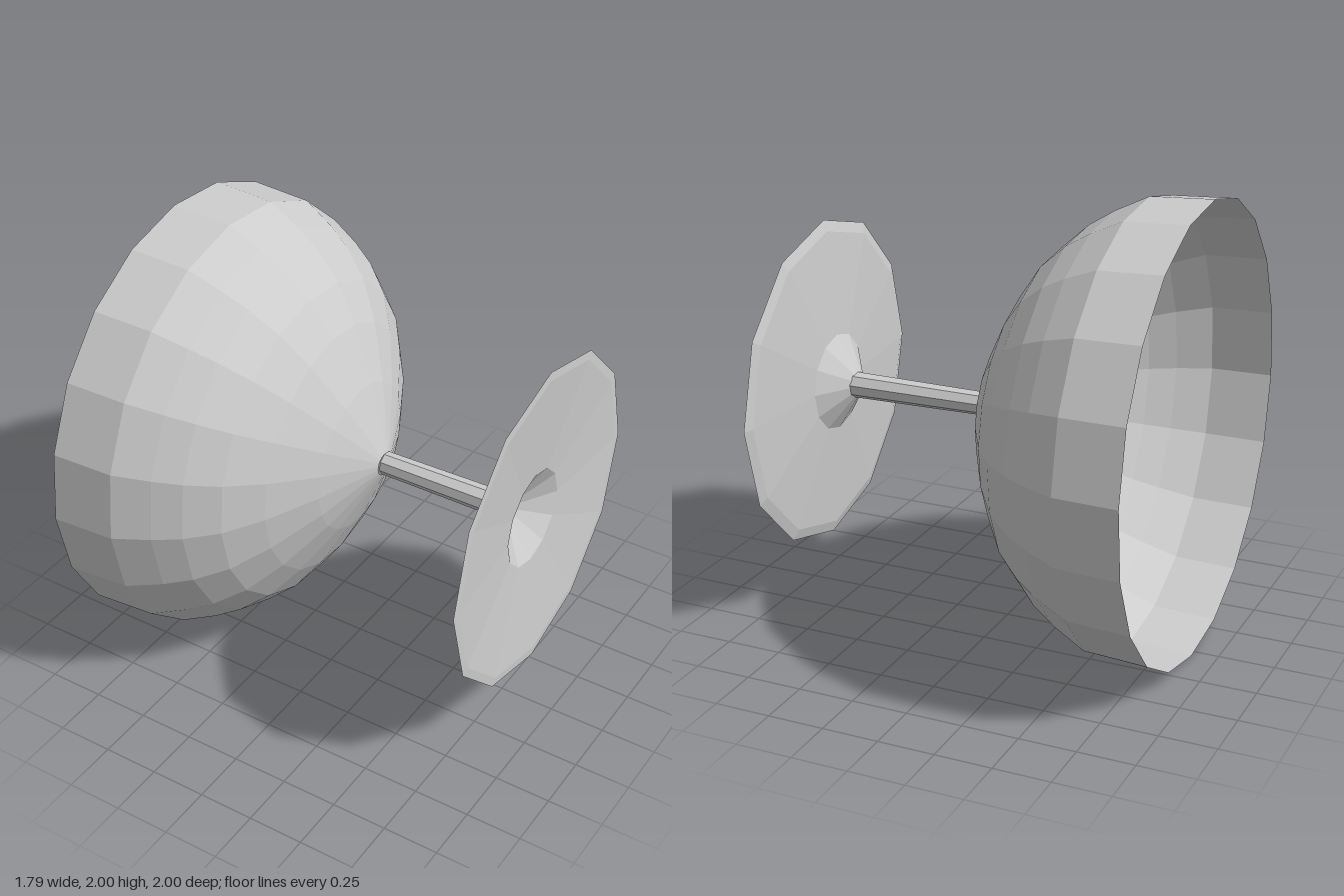
import * as THREE from 'three';

const grey = new THREE.MeshStandardMaterial({ color: 0xcccccc, flatShading: true, side: THREE.DoubleSide });
grey.name = 'grey';

// Turn a profile of [x along the axis, radius] around the x axis
function turned(name, profile, sides, phase = 0) {
  const points = profile.map(([x, r]) => new THREE.Vector2(r, x));
  const geometry = new THREE.LatheGeometry(points, sides, phase);
  geometry.rotateZ(-Math.PI / 2);
  const mesh = new THREE.Mesh(geometry, grey);
  mesh.name = name;
  return mesh;
}

export function createModel() {
  const goblet = new THREE.Group();
  goblet.name = 'goblet';

  // Open bowl, its mouth towards -x
  goblet.add(turned('bowl', [
    [0.12, 0.05], [0.0, 0.34], [-0.12, 0.57], [-0.23, 0.73],
    [-0.35, 0.84], [-0.46, 0.91], [-0.61, 0.985], [-0.89, 1.0],
  ], 20, 0.052));

  // Hollow stem
  const stem = turned('stem', [[0.12, 0.052], [0.74, 0.058]], 8, 0.2);
  stem.position.z = -0.01;
  goblet.add(stem);

  // Thin dished foot, hollow in the middle
  const foot = turned('foot', [
    [0.73, 0.055], [0.83, 0.22], [0.865, 0.69], [0.88, 0.74],
    [0.882, 0.7], [0.843, 0.22], [0.74, 0.05],
  ], 12);
  goblet.add(foot);

  // Lying on its side, turned very slightly
  goblet.rotation.y = 0.012;
  goblet.position.y = 1;

  const model = new THREE.Group();
  model.name = 'lyingGoblet';
  model.add(goblet);
  return model;
}
